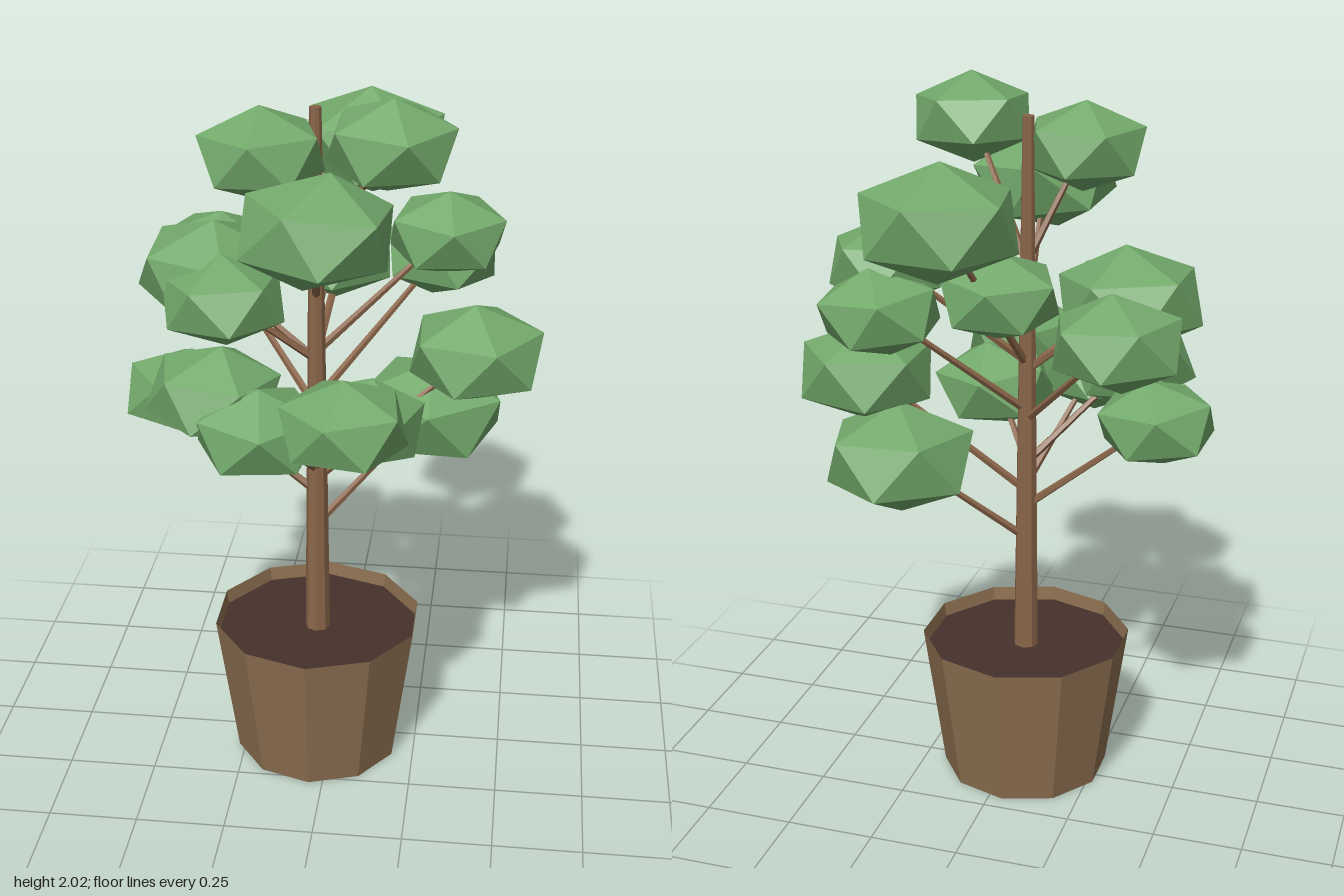
import * as THREE from 'three';

const mat = (name, color, extra = {}) => {
  const m = new THREE.MeshStandardMaterial({ color, ...extra });
  m.name = name;
  return m;
};

export function createModel() {
  const leaf = mat('leaf green', 0x73a96b, { flatShading: true });
  const bark = mat('bark brown', 0x8a6549, { flatShading: true });
  const clay = mat('pot brown', 0x8c6f50, { flatShading: true, side: THREE.DoubleSide });
  const earth = mat('soil brown', 0x47322b, { flatShading: true });

  const tree = new THREE.Group();
  tree.name = 'pottedTree';
  const cx = -0.04, cz = 0.035; // trunk axis
  const add = (name, geometry, material, x = 0, y = 0, z = 0) => {
    const mesh = new THREE.Mesh(geometry, material);
    mesh.name = name;
    mesh.position.set(x, y, z);
    tree.add(mesh);
    return mesh;
  };

  // Ten-sided pot: open wall, base and soil
  add('potWall', new THREE.CylinderGeometry(0.3, 0.24, 0.43, 10, 1, true), clay, cx, 0.215, cz);
  add('potBase', new THREE.CircleGeometry(0.24, 10, Math.PI / 2).rotateX(Math.PI / 2), clay, cx, 0.001, cz);
  add('soil', new THREE.CylinderGeometry(0.293, 0.291, 0.02, 10), earth, cx, 0.38, cz);

  // Tapered trunk
  add('trunk', new THREE.CylinderGeometry(0.016, 0.036, 1.55, 8), bark, cx, 1.165, cz);

  // Leaf clumps: x, y, z, half width, optional height where the branch leaves the trunk
  const clumps = [
    [0.17, 1.895, 0.205, 0.162, 1.53],
    [-0.165, 1.845, 0.145, 0.162, 1.55],
    [0.0, 1.71, 0.345, 0.195, 1.42],
    [0.07, 1.74, -0.37, 0.202, 1.25],
    [0.3, 1.56, -0.125, 0.158],
    [0.28, 1.46, -0.25, 0.16],
    [-0.01, 1.49, -0.12, 0.16],
    [-0.335, 1.475, 0.0, 0.19],
    [-0.36, 1.43, -0.245, 0.17],
    [-0.275, 1.44, 0.135, 0.162],
    [-0.29, 1.22, 0.24, 0.17],
    [-0.155, 1.16, 0.34, 0.165],
    [0.075, 1.215, 0.4, 0.165],
    [0.1, 1.13, 0.2, 0.165],
    [0.39, 1.23, -0.08, 0.185],
    [0.265, 1.02, -0.165, 0.203],
    [-0.41, 1.125, 0.03, 0.16],
  ];
  const up = new THREE.Vector3(0, 1, 0);
  clumps.forEach(([x, y, z, w, start], i) => {
    // Flattened icosahedron standing on a corner, turned and slightly tilted
    const geo = new THREE.IcosahedronGeometry(w / 0.89, 0);
    geo.rotateZ(-Math.atan(2 / (1 + Math.sqrt(5))));
    geo.rotateY(i * 0.9);
    geo.rotateZ(0.1 * Math.sin(i * 2.3) - 0.05);
    geo.rotateX(0.1 * Math.cos(i * 1.7));
    geo.scale(1, 0.68, 1);
    add('leafClump', geo, leaf, x, y, z);

    // Thin branch from the trunk into the clump
    const reach = Math.hypot(x - cx, z - cz);
    const a = new THREE.Vector3(cx, start ?? y - 0.8 * reach, cz);
    const b = new THREE.Vector3(x, y, z);
    const dir = b.clone().sub(a);
    const branch = add('branch', new THREE.CylinderGeometry(0.007, 0.012, dir.length(), 5), bark);
    branch.position.copy(a).add(b).multiplyScalar(0.5);
    branch.quaternion.setFromUnitVectors(up, dir.normalize());
  });

  return tree;
}
